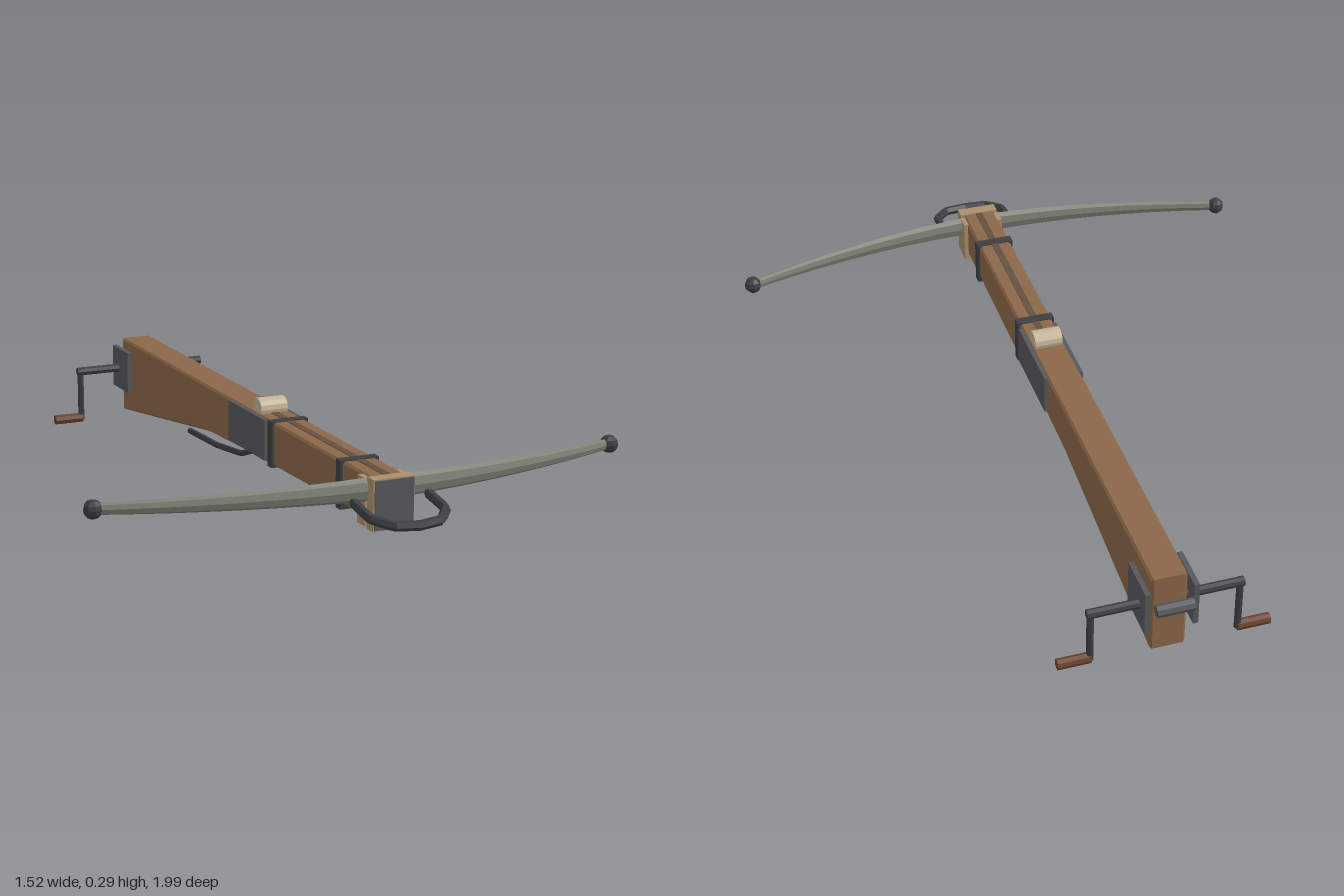
import * as THREE from 'three';

const mat = (color) => new THREE.MeshStandardMaterial({ color, flatShading: true });
const wood = mat(0x8b6748), grip = mat(0x6b422c), groove = mat(0x66503f), steel = mat(0x57585c);
const iron = mat(0x3c3e42), bowSteel = mat(0x7c8072), bone = mat(0xc4b496), cord = mat(0xab8f6c);
const V = (x, y, z) => new THREE.Vector3(x, y, z);

export function createModel() {
  const model = new THREE.Group();

  const add = (name, geo, material, x = 0, y = 0, z = 0) => {
    const mesh = new THREE.Mesh(geo, material);
    mesh.name = name;
    mesh.position.set(x, y, z);
    model.add(mesh);
    return mesh;
  };
  const box = (name, material, w, h, d, x, y, z) =>
    add(name, new THREE.BoxGeometry(w, h, d), material, x, y, z);
  // Rod lying along x
  const rod = (name, material, r, length, x, y, z, sides = 8) =>
    add(name, new THREE.CylinderGeometry(r, r, length, sides).rotateZ(Math.PI / 2), material, x, y, z);
  // Bent bar through straight segments, closed at both ends
  const bar = (name, material, points, r) => {
    const path = new THREE.CurvePath();
    for (let i = 1; i < points.length; i++) path.add(new THREE.LineCurve3(points[i - 1], points[i]));
    add(name, new THREE.TubeGeometry(path, 28, r, 6), material);
    for (const p of [points[0], points[points.length - 1]])
      add(name + 'End', new THREE.SphereGeometry(r, 6, 4), material, p.x, p.y, p.z);
  };

  // Stock: side profile (z, y) extruded across the width
  const profile = [[0.81, 0.152], [0.05, 0.138], [-0.23, 0.128], [-0.935, 0.03], [-0.935, 0.252], [0.81, 0.252]];
  const shape = new THREE.Shape(profile.map(([z, y]) => new THREE.Vector2(z, y)));
  const stockGeo = new THREE.ExtrudeGeometry(shape, {
    depth: 0.084, bevelEnabled: true, bevelThickness: 0.006, bevelSize: 0.006, bevelSegments: 1,
  });
  stockGeo.translate(0, 0, -0.042).rotateY(-Math.PI / 2);
  add('stock', stockGeo, wood);
  box('boltGroove', groove, 0.02, 0.006, 0.7, 0, 0.257, 0.46);

  // Lock plates, bands and nut
  for (const s of [-1, 1]) box('lockPlate', steel, 0.012, 0.115, 0.25, s * 0.05, 0.198, 0.06);
  for (const z of [0.64, 0.215]) box('band', iron, 0.11, 0.13, 0.028, 0, 0.196, z);
  rod('nut', bone, 0.03, 0.08, 0, 0.268, 0.1, 14);

  // Trigger lever under the stock
  bar('trigger', iron, [V(0, 0.128, 0.025), V(0, 0.083, -0.1), V(0, 0.063, -0.28), V(0, 0.056, -0.49)], 0.009);

  // Nose block with cord binding and front plate
  box('binding', cord, 0.12, 0.125, 0.042, 0, 0.192, 0.781);
  box('noseBlock', cord, 0.115, 0.135, 0.035, 0, 0.193, 0.825);
  box('nosePlate', steel, 0.108, 0.128, 0.008, 0, 0.193, 0.843);

  // Bow: a tapered octagonal limb swept back toward the tips
  const bowGeo = new THREE.CylinderGeometry(1, 1, 1.46, 8, 24).rotateZ(Math.PI / 2);
  const p = bowGeo.attributes.position;
  for (let i = 0; i < p.count; i++) {
    const x = p.getX(i), t = Math.abs(x) / 0.73;
    p.setY(i, 0.225 + p.getY(i) * (0.032 - 0.017 * t));
    p.setZ(i, 0.8 - 0.12 * Math.pow(t, 1.9) + p.getZ(i) * (0.018 - 0.006 * t));
  }
  bowGeo.computeVertexNormals();
  add('bow', bowGeo, bowSteel);
  for (const s of [-1, 1]) add('bowTip', new THREE.SphereGeometry(0.025, 8, 6), iron, s * 0.735, 0.225, 0.68);

  // Foot stirrup
  bar('stirrup', iron, [
    V(-0.105, 0.204, 0.83), V(-0.105, 0.189, 0.92), V(-0.065, 0.179, 0.97), V(0, 0.176, 0.98),
    V(0.065, 0.179, 0.97), V(0.105, 0.189, 0.92), V(0.105, 0.204, 0.83),
  ], 0.013);

  // Windlass: cheek plates, shaft, cranks, handles and rear drum
  rod('windlassShaft', iron, 0.013, 0.42, 0, 0.168, -0.917);
  rod('windlassDrum', steel, 0.017, 0.1, 0, 0.192, -0.983);
  for (const s of [-1, 1]) {
    box('windlassPlate', steel, 0.014, 0.13, 0.13, s * 0.065, 0.168, -0.898);
    add('crankArm', new THREE.CylinderGeometry(0.01, 0.01, 0.165, 8), iron, s * 0.2, 0.095, -0.917);
    rod('crankHandle', grip, 0.015, 0.09, s * 0.243, 0.018, -0.917);
  }
  return model;
}
